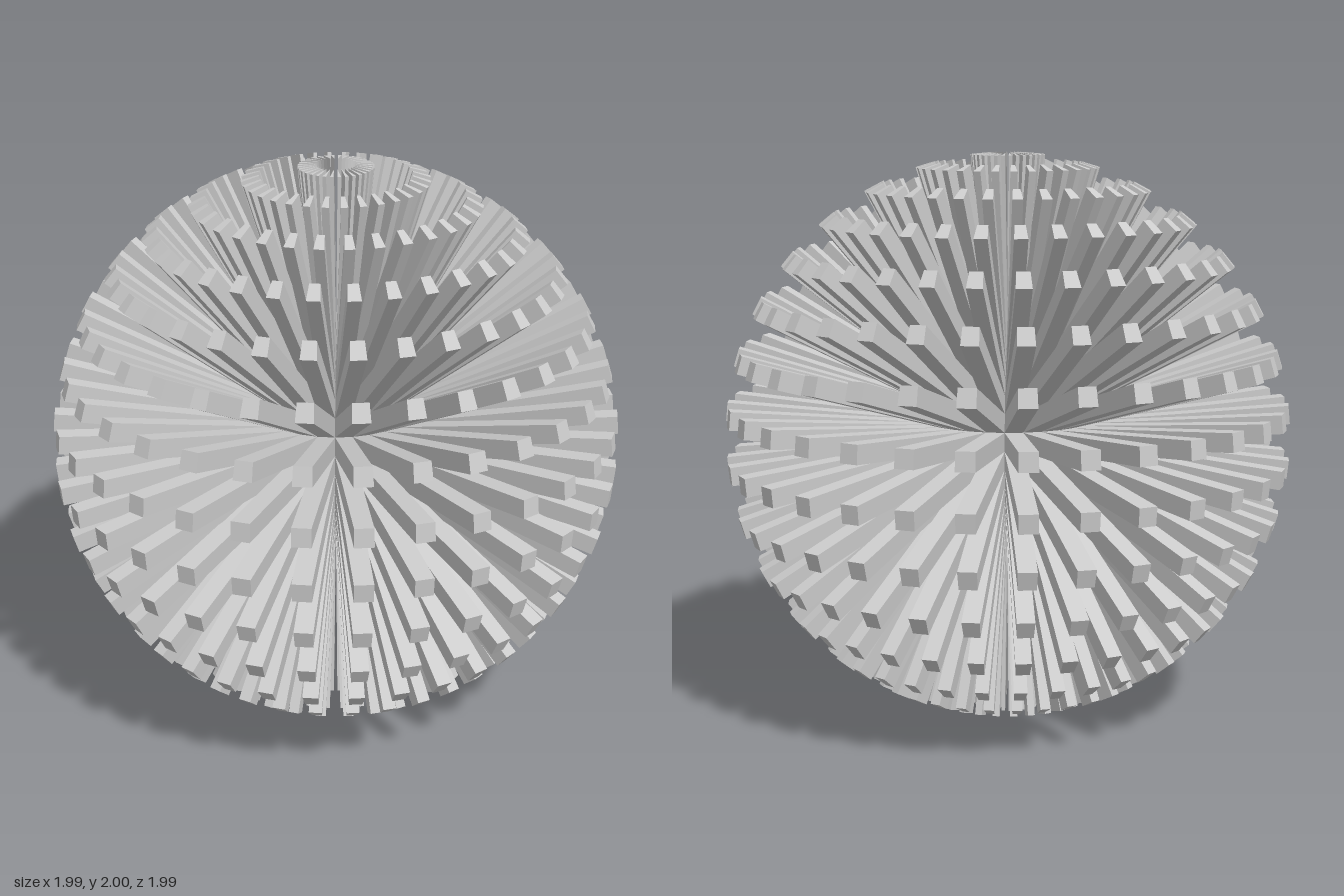
import * as THREE from 'three';
import { mergeGeometries } from 'three/addons/utils/BufferGeometryUtils.js';

const SEGMENTS = 32;            // spikes around each row
const ROWS = 16;                // rows from pole to pole
const CORE = 0.33;              // radius of the faceted core the spikes grow from
const STEP = Math.PI / ROWS;
const LENGTH = (1 - CORE) / Math.cos(STEP / 2);

function corePoint(lat, lon) {
  return new THREE.Vector3(
    Math.cos(lat) * Math.sin(lon), Math.sin(lat), Math.cos(lat) * Math.cos(lon)
  ).multiplyScalar(CORE);
}

// Straight prism: a core facet pushed out along its own normal
function prism(base) {
  const normal = new THREE.Triangle(base[0], base[1], base[2]).getNormal(new THREE.Vector3());
  const tip = base.map((p) => p.clone().addScaledVector(normal, LENGTH));
  const points = [];
  for (let i = 1; i < base.length - 1; i++) points.push(tip[0], tip[i], tip[i + 1]);
  base.forEach((a, i) => {
    const j = (i + 1) % base.length;
    points.push(a, base[j], tip[j], a, tip[j], tip[i]);
  });
  const geometry = new THREE.BufferGeometry().setFromPoints(points);
  geometry.computeVertexNormals();
  return geometry;
}

// One spike of a row; the rows at the poles have triangular spikes
function spike(row) {
  const low = -Math.PI / 2 + row * STEP;
  const high = low + STEP;
  const lon = (2 * Math.PI) / SEGMENTS;
  const bottom = row === 0 ? [corePoint(low, 0)] : [corePoint(low, 0), corePoint(low, lon)];
  const top = row === ROWS - 1 ? [corePoint(high, 0)] : [corePoint(high, lon), corePoint(high, 0)];
  return prism([...bottom, ...top]);
}

export function createModel() {
  const group = new THREE.Group();
  group.name = 'spikyBall';
  const material = new THREE.MeshStandardMaterial({ color: 0xcccccc, flatShading: true });

  for (let row = 0; row < ROWS; row++) {
    const single = spike(row);
    const ring = [];
    for (let i = 0; i < SEGMENTS; i++) {
      ring.push(single.clone().rotateY((i * 2 * Math.PI) / SEGMENTS));
    }
    const mesh = new THREE.Mesh(mergeGeometries(ring), material);
    mesh.name = `spikeRow${row + 1}`;
    mesh.position.y = 1;
    group.add(mesh);
  }
  return group;
}
